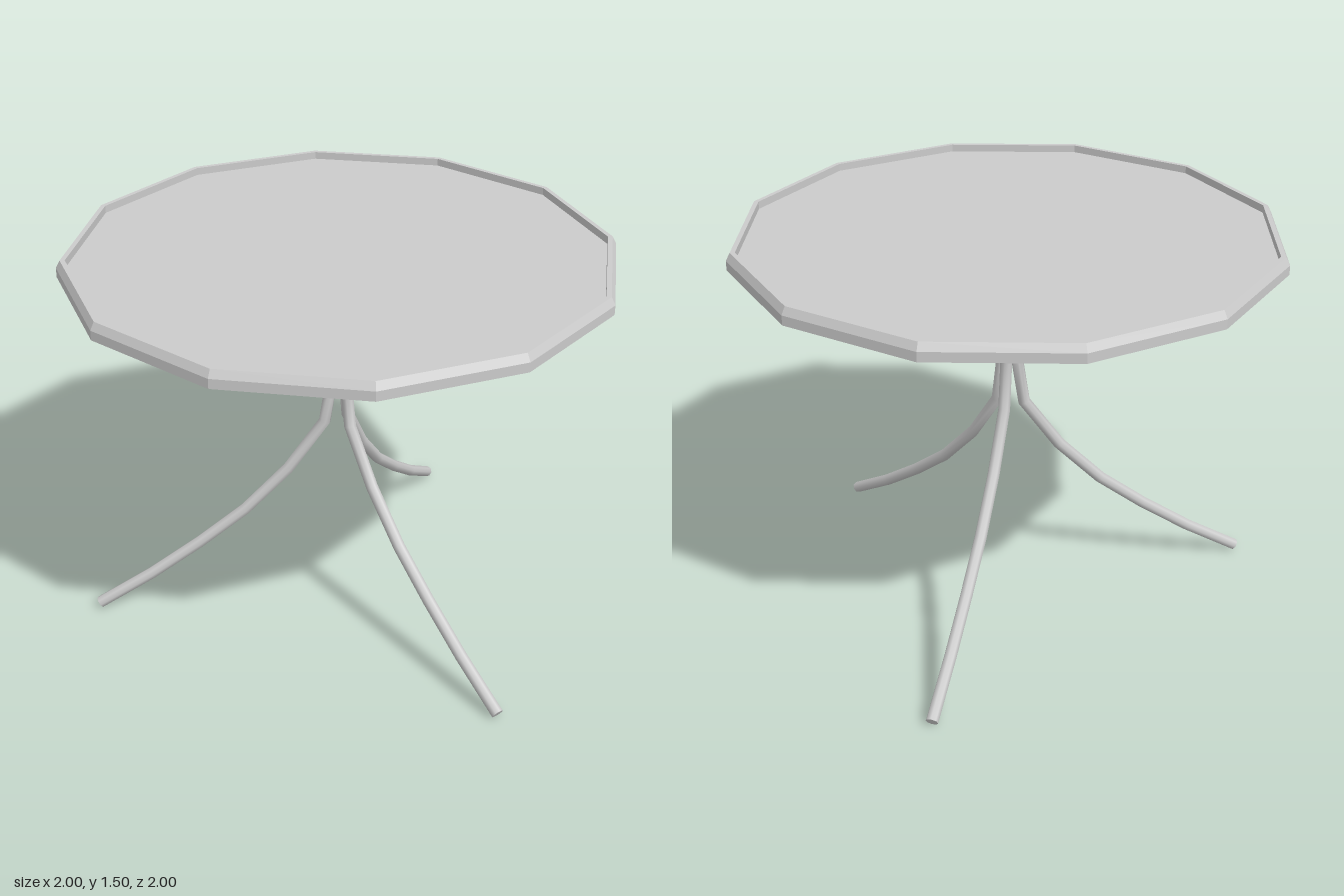
import * as THREE from 'three';

// Straight-segment path, with bisecting tangents at the bends
class BentPath extends THREE.Curve {
  constructor(points) {
    super();
    this.points = points;
  }
  getPoint(t, target = new THREE.Vector3()) {
    const last = this.points.length - 1;
    const i = Math.min(Math.floor(t * last + 1e-6), last - 1);
    return target.lerpVectors(this.points[i], this.points[i + 1], t * last - i);
  }
  getPointAt(t, target) {
    return this.getPoint(t, target);
  }
  getTangentAt(t, target = new THREE.Vector3()) {
    const p = this.points, last = p.length - 1, i = Math.round(t * last);
    target.set(0, 0, 0);
    if (i > 0) target.add(p[i].clone().sub(p[i - 1]).normalize());
    if (i < last) target.add(p[i + 1].clone().sub(p[i]).normalize());
    return target.normalize();
  }
}

export function createModel() {
  const model = new THREE.Group();
  const flat = new THREE.MeshStandardMaterial({ color: 0xcccccc, flatShading: true });
  const smooth = new THREE.MeshStandardMaterial({ color: 0xcccccc });

  // Twelve-sided top with a chamfered raised rim and a sunken surface
  const profile = [[0, 1.437], [1, 1.437], [1, 1.472], [0.985, 1.5], [0.967, 1.5], [0.967, 1.472], [0, 1.472]]
    .map(([r, y]) => new THREE.Vector2(r, y));
  const top = new THREE.Mesh(new THREE.LatheGeometry(profile, 12), flat);
  top.name = 'tableTop';
  model.add(top);

  // Bent tubular legs, from foot to top, given as distance from the axis and height
  const radius = 0.023, sides = 8;
  const path = new BentPath([
    [0.956, 0.024], [0.745, 0.15], [0.55, 0.285], [0.37, 0.425], [0.2, 0.6],
    [0.06, 0.8], [0.025, 1.03], [0.105, 1.26], [0.27, 1.444],
  ].map(([x, y]) => new THREE.Vector3(x, y, 0)));
  const tube = new THREE.TubeGeometry(path, path.points.length - 1, radius, sides, false);
  const cap = new THREE.CircleGeometry(radius, sides);

  for (let i = 0; i < 3; i++) {
    const leg = new THREE.Group();
    leg.name = 'leg' + (i + 1);
    const bar = new THREE.Mesh(tube, smooth);
    bar.name = 'legTube';
    leg.add(bar);
    for (const [name, t, sign] of [['footCap', 0, -1], ['upperCap', 1, 1]]) {
      const end = new THREE.Mesh(cap, smooth);
      end.name = name;
      end.position.copy(path.getPointAt(t));
      end.quaternion.setFromUnitVectors(
        new THREE.Vector3(0, 0, 1), path.getTangentAt(t).multiplyScalar(sign));
      leg.add(end);
    }
    leg.rotation.y = (i * Math.PI * 2) / 3;
    model.add(leg);
  }
  return model;
}
